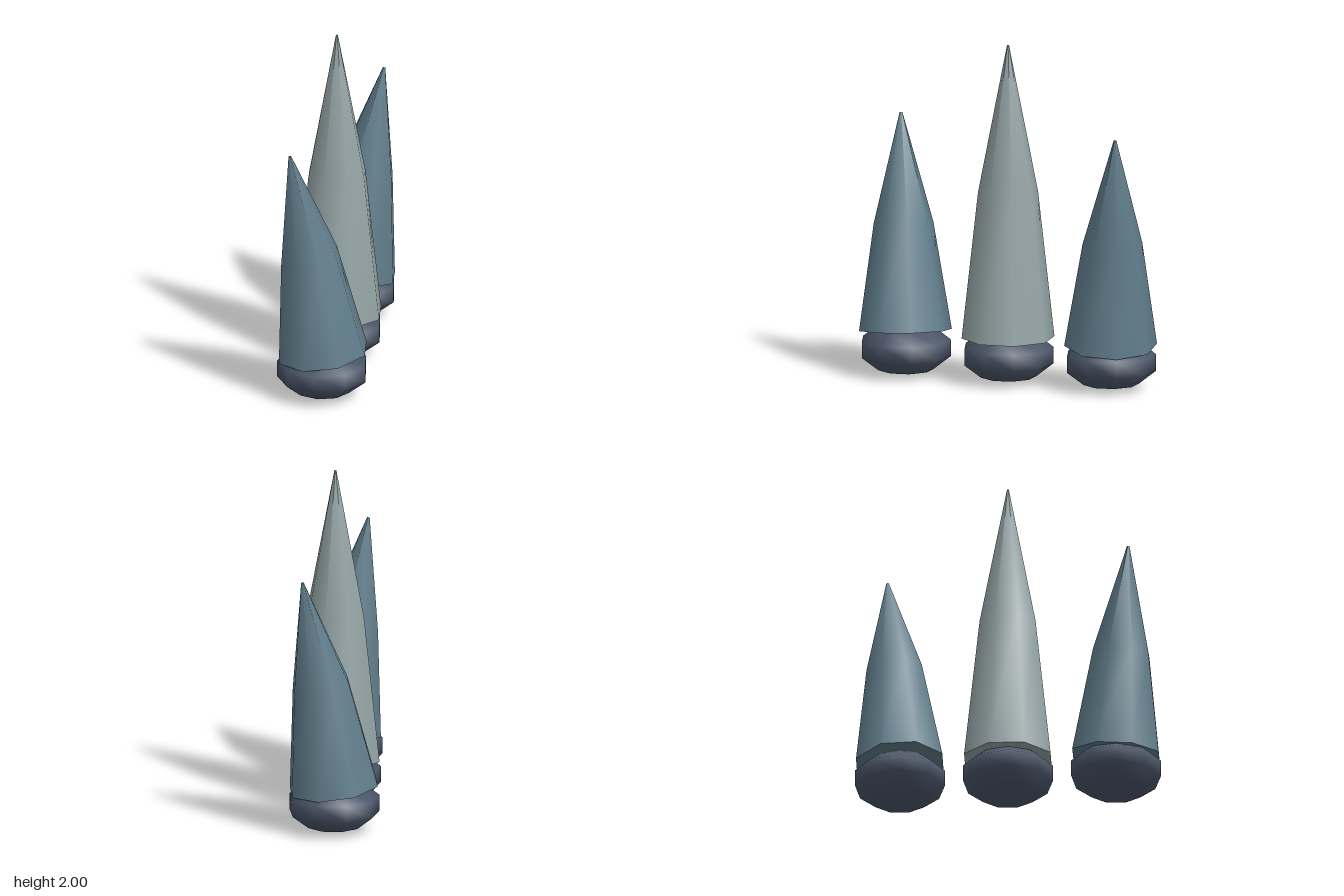
import * as THREE from 'three';
import { toCreasedNormals } from 'three/addons/utils/BufferGeometryUtils.js';

const baseMaterial = new THREE.MeshStandardMaterial({ color: 0x4a5568 });
const paleMaterial = new THREE.MeshStandardMaterial({ color: 0x95a5a6 });
const blueMaterial = new THREE.MeshStandardMaterial({ color: 0x607d8b });

// Eight-sided spike through three rings, bottom to top: { x, y, r, tilt }
function spikeGeometry(rings) {
  const geometry = new THREE.CylinderGeometry(1, 1, 2, 8, 2);
  const pos = geometry.attributes.position;
  for (let i = 0; i < pos.count; i++) {
    const ring = rings[Math.round(pos.getY(i)) + 1];
    const x = pos.getX(i) * ring.r;
    pos.setXYZ(
      i,
      ring.x + x * Math.cos(ring.tilt),
      ring.y + x * Math.sin(ring.tilt),
      pos.getZ(i) * ring.r
    );
  }
  return toCreasedNormals(geometry, 1.0);
}

// Flattened nine-sided foot with a corner towards +x
function footGeometry() {
  const geometry = new THREE.SphereGeometry(0.279, 9, 5);
  geometry.rotateY(Math.PI);
  geometry.scale(1, 0.157 / 0.279, 1);
  geometry.translate(0, 0.162, 0);
  return geometry;
}

const straight = [
  { x: 0, y: 0.265, r: 0.272, tilt: 0 },
  { x: 0, y: 1.13, r: 0.176, tilt: 0 },
  { x: 0, y: 2, r: 0.006, tilt: 0 },
];

// Leans towards -x, bending a little more above the middle
const leaning = [
  { x: 0, y: 0.265, r: 0.272, tilt: 0.13 },
  { x: -0.085, y: 0.885, r: 0.175, tilt: 0.23 },
  { x: -0.203, y: 1.518, r: 0.008, tilt: 0.2 },
];

// The same rings leaning the other way
const mirrored = leaning.map((g) => ({ ...g, x: -g.x, tilt: -g.tilt }));

export function createModel() {
  const model = new THREE.Group();
  const foot = footGeometry();

  const parts = [
    ['middle', 0, 0, straight, paleMaterial],
    ['front', -0.283, 0.565, leaning, blueMaterial],
    ['back', 0.283, -0.565, mirrored, blueMaterial],
  ];
  for (const [name, x, z, rings, material] of parts) {
    const group = new THREE.Group();
    group.name = name + 'Spike';
    group.position.set(x, 0, z);

    const spike = new THREE.Mesh(spikeGeometry(rings), material);
    spike.name = name + 'SpikeBody';
    const base = new THREE.Mesh(foot, baseMaterial);
    base.name = name + 'SpikeFoot';

    group.add(spike, base);
    model.add(group);
  }
  return model;
}
